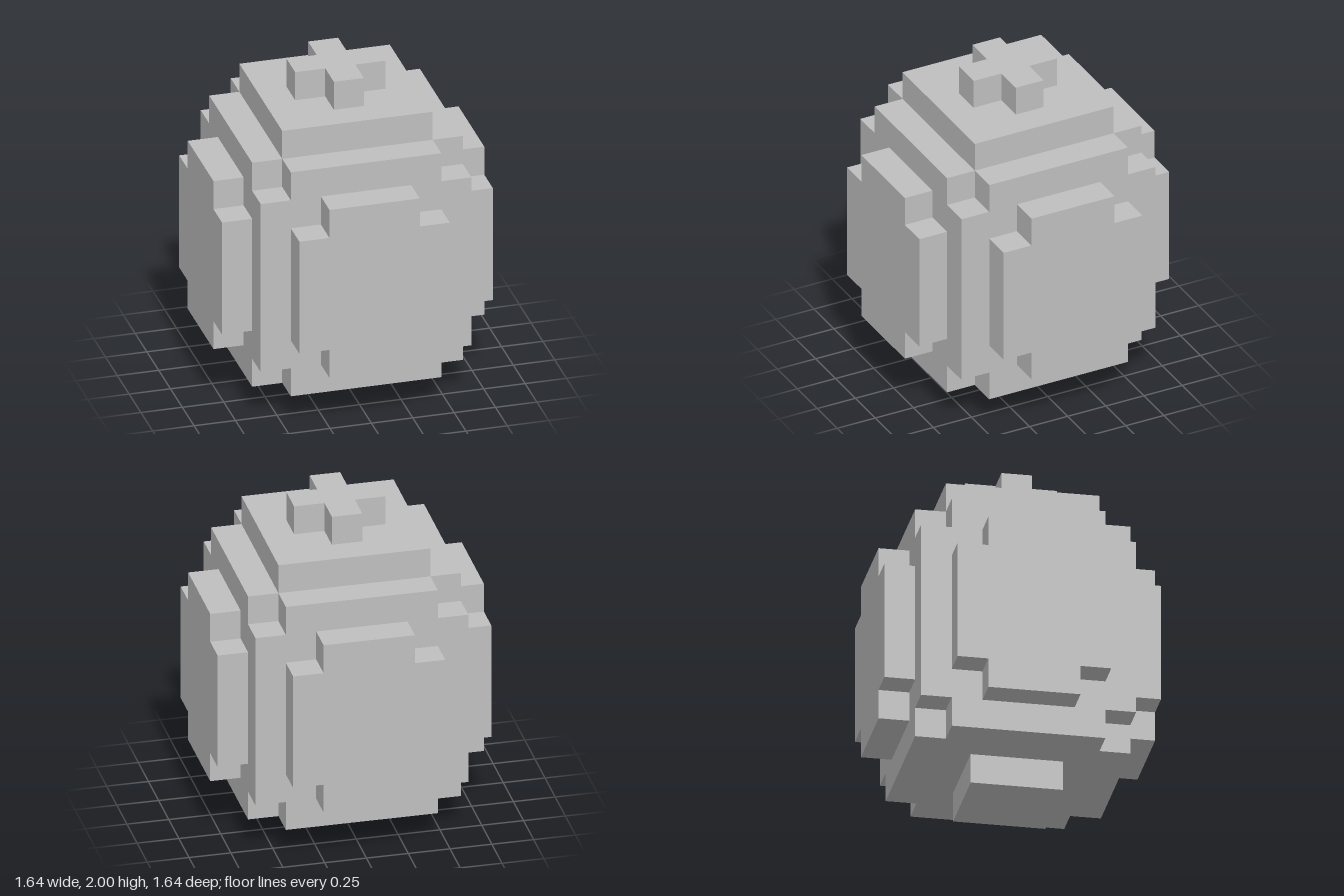
import * as THREE from 'three';

// One block of the stepped form; the whole model is 11 blocks high
const U = 2 / 11;

// Rectangle outline with square notches cut from its corners (sizes in blocks)
function notchedShape(halfW, halfH, notch) {
  const w = halfW * U, h = halfH * U, n = notch * U;
  const corners = notch === 0
    ? [[w, h], [-w, h], [-w, -h], [w, -h]]
    : [
        [w, h - n], [w - n, h - n], [w - n, h],
        [n - w, h], [n - w, h - n], [-w, h - n],
        [-w, n - h], [n - w, n - h], [n - w, -h],
        [w - n, -h], [w - n, n - h], [w, n - h],
      ];
  return new THREE.Shape(corners.map(([x, y]) => new THREE.Vector2(x, y)));
}

function slab(halfW, halfH, notch, depth) {
  return new THREE.ExtrudeGeometry(notchedShape(halfW, halfH, notch), {
    depth: depth * U, bevelEnabled: false,
  });
}

export function createModel() {
  const group = new THREE.Group();
  const stone = new THREE.MeshStandardMaterial({ color: 0xbfbfbf });
  stone.name = 'grey';

  // Horizontal layers: name, half width, corner notch, bottom, height
  const layers = [
    ['foot', 1.5, 0, 0, 1],
    ['lowerStep', 3.5, 1, 1, 1],
    ['body', 3.5, 0, 2, 6],
    ['upperStep', 3.5, 1, 8, 1],
    ['cap', 2.5, 0, 9, 1],
    ['topCross', 1.5, 1, 10, 1],
  ];
  for (const [name, half, notch, bottom, height] of layers) {
    const geometry = slab(half, half, notch, height).rotateX(-Math.PI / 2);
    const mesh = new THREE.Mesh(geometry, stone);
    mesh.name = name;
    mesh.position.y = bottom * U;
    group.add(mesh);
  }

  // Raised notched panels on the four sides
  const panel = slab(2.5, 3, 1, 1).translate(0, 5 * U, 3.5 * U);
  ['frontPanel', 'leftPanel', 'backPanel', 'rightPanel'].forEach((name, i) => {
    const mesh = new THREE.Mesh(panel, stone);
    mesh.name = name;
    mesh.rotation.y = i * Math.PI / 2;
    group.add(mesh);
  });

  return group;
}
